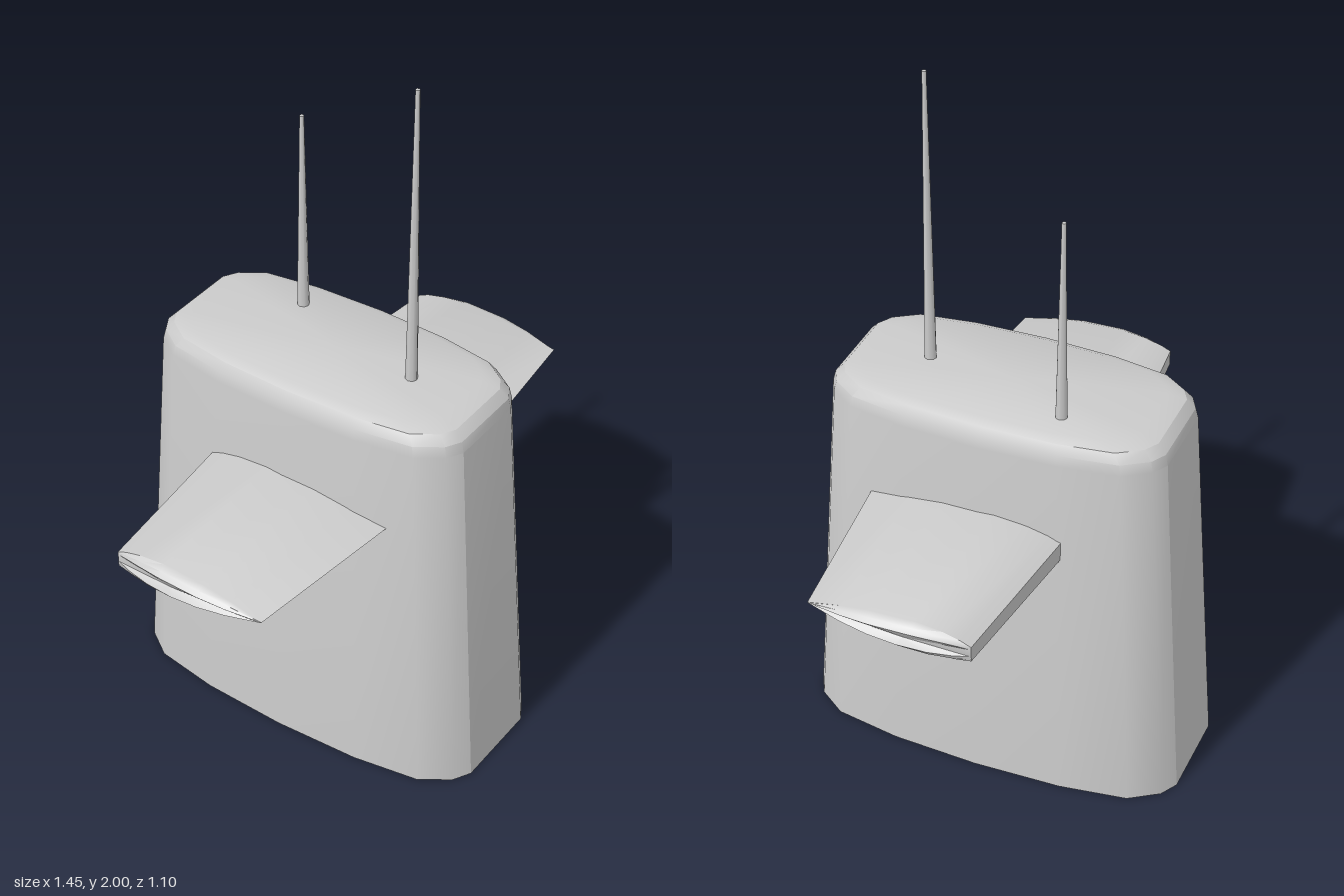
import * as THREE from 'three';
import { toCreasedNormals } from 'three/addons/utils/BufferGeometryUtils.js';

const material = new THREE.MeshStandardMaterial({ color: 0xcccccc });

// Skin a stack of equal-length closed rings of [x, y, z] and cap both ends.
// Rings run counter-clockwise about the stacking direction.
function loft(rings) {
  const n = rings[0].length, pos = [];
  const tri = (...points) => points.forEach((p) => pos.push(...p));
  const centre = (ring) => [0, 1, 2].map((k) => ring.reduce((s, p) => s + p[k], 0) / n);
  const first = rings[0], last = rings[rings.length - 1];
  const c0 = centre(first), c1 = centre(last);
  for (let j = 0; j < n; j++) {
    const k = (j + 1) % n;
    for (let i = 0; i < rings.length - 1; i++) {
      const a = rings[i][j], b = rings[i][k], c = rings[i + 1][k], d = rings[i + 1][j];
      tri(a, b, c);
      tri(a, c, d);
    }
    tri(c0, first[k], first[j]);
    tri(c1, last[j], last[k]);
  }
  const geometry = new THREE.BufferGeometry();
  geometry.setAttribute('position', new THREE.Float32BufferAttribute(pos, 3));
  return toCreasedNormals(geometry, 0.5);
}

function addMesh(group, name, geometry) {
  const mesh = new THREE.Mesh(geometry, material);
  mesh.name = name;
  group.add(mesh);
  return mesh;
}

// Tapered tower: one outline scaled up the height, with a rounded top edge
function towerGeometry() {
  const front = [[0.13, 0.548], [0.18, 0.52], [0.235, 0.44], [0.265, 0.25]];
  const right = [...front, [0.275, 0], ...front.map(([x, z]) => [x, -z]).reverse()];
  const outline = [...right, ...right.map(([x, z]) => [-x, -z])];
  const levels = [ // height, x scale, z scale
    [0, 1, 1], [1.08, 0.865, 0.865], [1.11, 0.845, 0.852],
    [1.135, 0.79, 0.81], [1.147, 0.7, 0.72],
  ];
  return loft(levels.map(([y, sx, sz]) => outline.map(([x, z]) => [x * sx, y, z * sz])));
}

// Tapered diving plane: sharp at +z, blunt at -z, rounded at the tip
function planeGeometry(side) {
  const zMid = 0.035, yMid = 0.825;
  const section = [ // z, y at the root
    [-0.235, 0.84], [-0.2, 0.855], [-0.14, 0.87], [-0.05, 0.88], [0.1, 0.873], [0.2, 0.858],
    [0.317, 0.832], [0.2, 0.81], [0.1, 0.79], [0, 0.776], [-0.1, 0.77], [-0.18, 0.775], [-0.235, 0.785],
  ];
  const stations = [ // x, chord scale, thickness factor, bulge of the tip
    [0.15, 1.03, 1, 0], [0.225, 1, 1, 0], [0.695, 0.82, 1, 0],
    [0.695, 0.815, 0.8, 0.02], [0.695, 0.81, 0.5, 0.032],
  ];
  const rings = stations.map(([x, s, t, bulge]) => section.map(([z, y]) => {
    const across = (z - zMid) / 0.28;
    return [side * (x + bulge * (1 - across * across)), yMid + (y - yMid) * s * t, zMid + (z - zMid) * s];
  }));
  return loft(side > 0 ? rings : rings.reverse());
}

export function createModel() {
  const group = new THREE.Group();
  group.name = 'submarineSail';
  addMesh(group, 'tower', towerGeometry());
  addMesh(group, 'leftDivingPlane', planeGeometry(1));
  addMesh(group, 'rightDivingPlane', planeGeometry(-1));

  // Slender masts standing on the tower roof
  const base = 1.13;
  for (const [name, x, z, top] of [['tallMast', 0, 0.24, 2], ['shortMast', 0.11, -0.18, 1.73]]) {
    const geometry = new THREE.CylinderGeometry(0.006, 0.017, top - base, 8);
    addMesh(group, name, geometry).position.set(x, (top + base) / 2, z);
  }
  return group;
}
